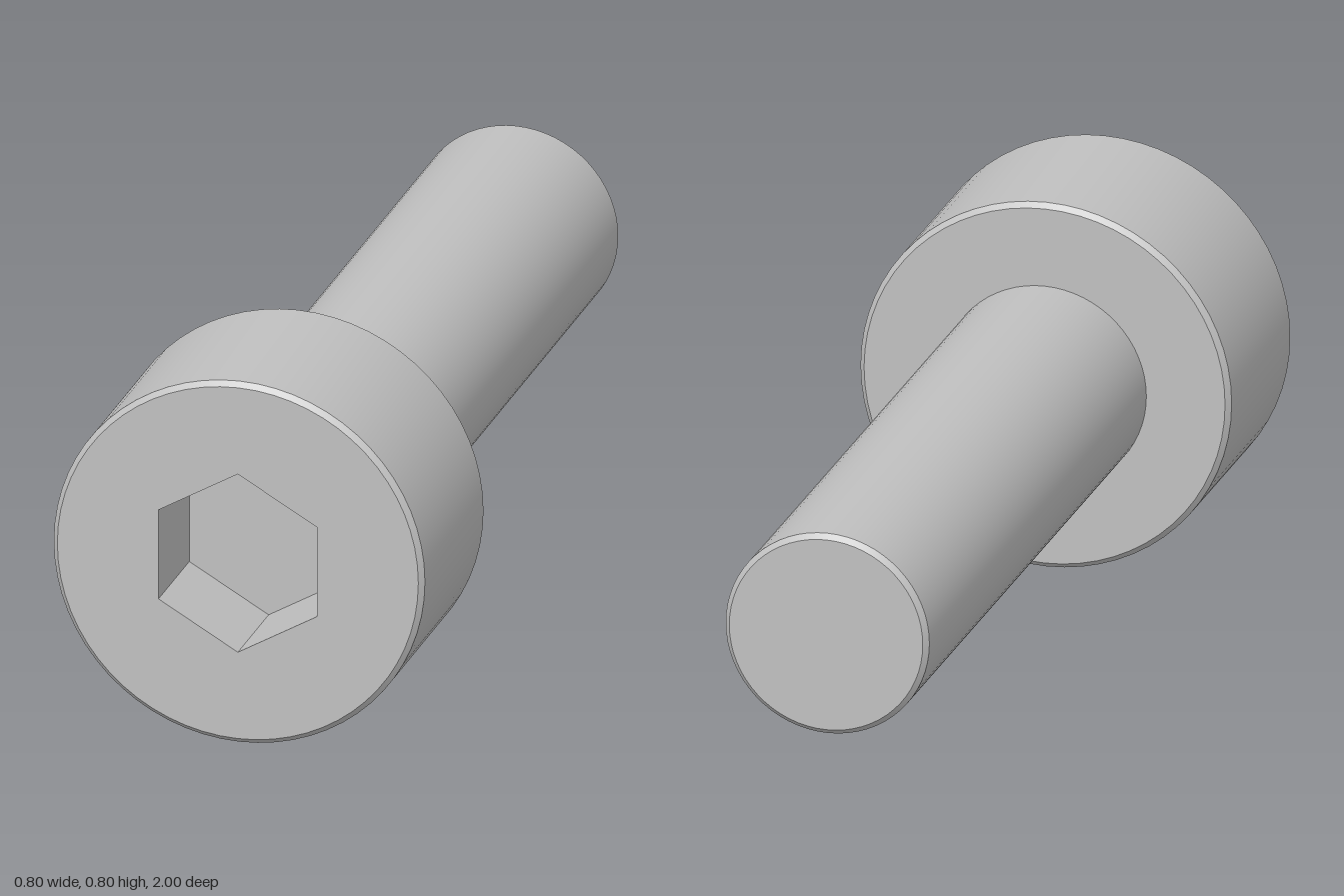
import * as THREE from 'three';
import { toCreasedNormals } from 'three/addons/utils/BufferGeometryUtils.js';

const SEGMENTS = 64;
const HEAD_R = 0.401, SHAFT_R = 0.22, HEX_R = 0.198;
const FRONT = 1, SHOULDER = 0.56, TIP = -1;
const CHAMFER = 0.011, SOCKET_DEPTH = 0.22;

// Closed regular outline, starting at the top
function ring(PathType, radius, sides) {
  const points = [];
  for (let i = 0; i < sides; i++) {
    const a = Math.PI / 2 + (i / sides) * Math.PI * 2;
    points.push(new THREE.Vector2(radius * Math.cos(a), radius * Math.sin(a)));
  }
  return new PathType(points);
}

// Turn a [radius, z] profile about the z axis, keeping chamfer edges sharp
function turned(profile) {
  const points = profile.map(([r, z]) => new THREE.Vector2(r, z));
  const geometry = new THREE.LatheGeometry(points, SEGMENTS).rotateX(Math.PI / 2);
  return toCreasedNormals(geometry, 0.5);
}

export function createModel() {
  const steel = new THREE.MeshStandardMaterial({ color: 0xc0c0c0 });
  steel.name = 'steel';

  const screw = new THREE.Group();
  screw.name = 'socketHeadScrew';
  const add = (name, geometry) => {
    const mesh = new THREE.Mesh(geometry, steel);
    mesh.name = name;
    screw.add(mesh);
  };

  // Plain shaft with a chamfered tip
  add('shaft', turned([
    [0, TIP], [SHAFT_R - CHAMFER, TIP], [SHAFT_R, TIP + CHAMFER], [SHAFT_R, SHOULDER],
  ]));

  // Head side, chamfered at both ends, with the shoulder around the shaft
  add('head', turned([
    [SHAFT_R, SHOULDER], [HEAD_R - CHAMFER, SHOULDER], [HEAD_R, SHOULDER + CHAMFER],
    [HEAD_R, FRONT - CHAMFER], [HEAD_R - CHAMFER, FRONT],
  ]));

  // Front face with the hexagonal opening
  const face = ring(THREE.Shape, HEAD_R - CHAMFER, SEGMENTS);
  face.holes.push(ring(THREE.Path, HEX_R, 6));
  add('headFace', new THREE.ShapeGeometry(face).translate(0, 0, FRONT));

  // Socket walls, mirrored so that they face inward
  const walls = new THREE.CylinderGeometry(HEX_R, HEX_R, SOCKET_DEPTH, 6, 1, true)
    .rotateX(Math.PI / 2)
    .scale(-1, 1, 1)
    .translate(0, 0, FRONT - SOCKET_DEPTH / 2)
    .toNonIndexed();
  walls.computeVertexNormals();
  add('socketWalls', walls);

  // Socket floor
  add('socketFloor', new THREE.ShapeGeometry(ring(THREE.Shape, HEX_R, 6))
    .translate(0, 0, FRONT - SOCKET_DEPTH));

  screw.position.y = HEAD_R;
  return screw;
}
